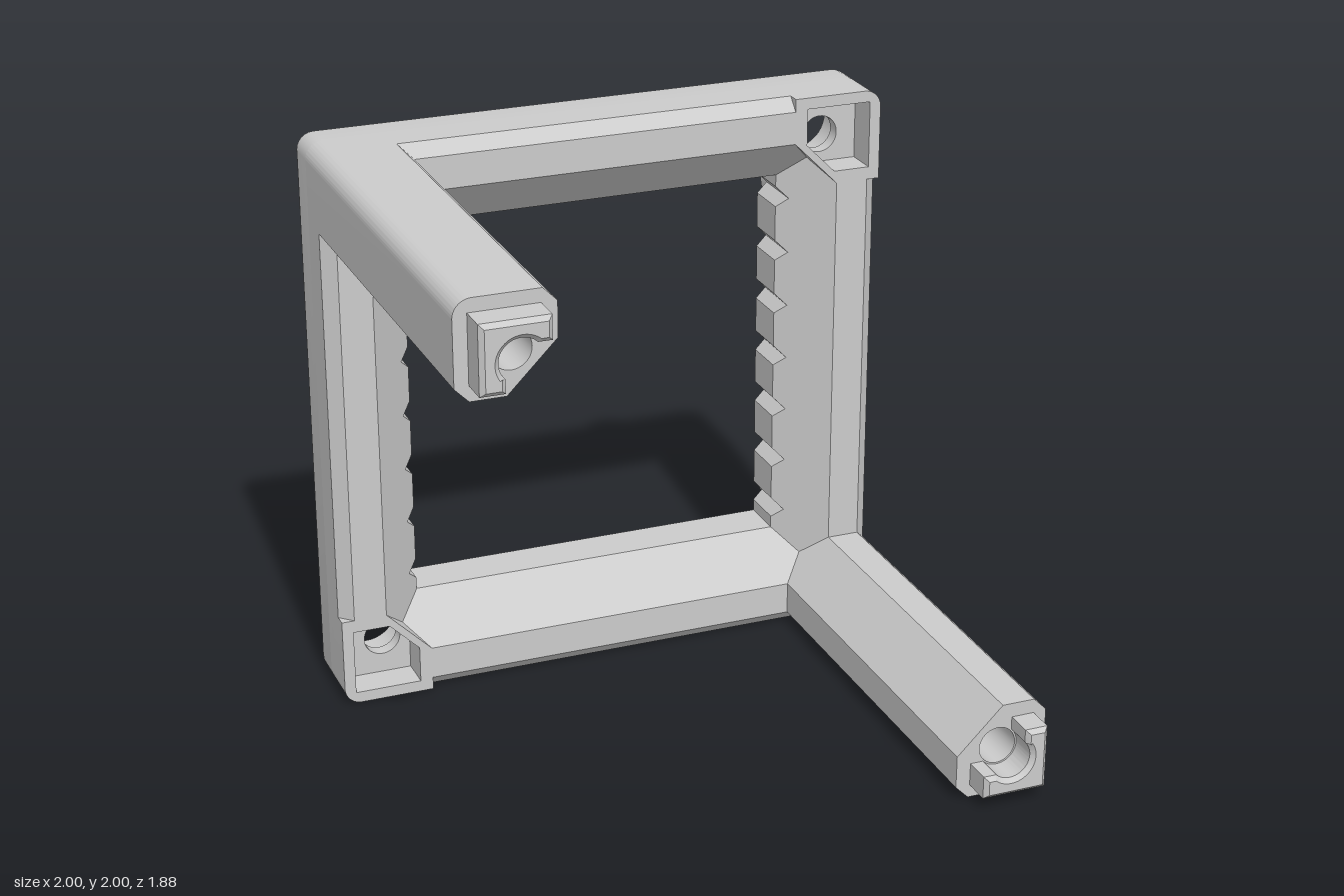
import * as THREE from 'three';
import { toCreasedNormals } from 'three/addons/utils/BufferGeometryUtils.js';

const material = new THREE.MeshStandardMaterial({ color: 0xcccccc });
const BACK = -0.86, MID = -0.71, FRONT = -0.54, LEG_END = 0.83;
const IN = 0.68, CH = 0.045, HOLE = 0.825; // inner edge, small chamfer, hole centre

function mesh(name, geometry) {
  const m = new THREE.Mesh(toCreasedNormals(geometry, 0.5), material);
  m.name = name;
  return m;
}

function extrude(shape, z0, z1, bevel = 0) {
  const g = new THREE.ExtrudeGeometry(shape, {
    depth: z1 - z0 - 2 * bevel, curveSegments: 20, bevelEnabled: bevel > 0,
    bevelSize: bevel, bevelThickness: bevel, bevelOffset: -bevel, bevelSegments: 1,
  });
  return g.translate(0, 0, z0 + bevel);
}

// Joins equal closed rings of points into a skin
function loft(rings) {
  const n = rings[0].length, index = [];
  for (let i = 0; i + 1 < rings.length; i++) {
    for (let j = 0; j < n; j++) {
      const k = (j + 1) % n;
      const a = i * n + j, b = i * n + k, c = b + n, d = a + n;
      index.push(a, d, c, a, c, b);
    }
  }
  const g = new THREE.BufferGeometry();
  g.setAttribute('position', new THREE.Float32BufferAttribute(rings.flat(2), 3));
  g.setIndex(index);
  return g;
}

function circle(x, y, r) {
  return new THREE.Path().absarc(x, y, r, 0, Math.PI * 2, false);
}

// Counter-clockwise rounded rectangle, as points
function roundRect(cx, cy, hw, hh, r, steps = 6) {
  const pts = [];
  [[1, 1], [-1, 1], [-1, -1], [1, -1]].forEach(([sx, sy], q) => {
    for (let i = 0; i <= steps; i++) {
      const a = (q + i / steps) * Math.PI / 2;
      pts.push(new THREE.Vector2(cx + sx * (hw - r) + r * Math.cos(a), cy + sy * (hh - r) + r * Math.sin(a)));
    }
  });
  return pts;
}

// Back plate with notched opening, slots and counterbores
function backPlate() {
  const shape = new THREE.Shape(roundRect(0, 0, 0.95, 0.95, 0.01));
  const opening = [];
  for (const s of [1, -1]) {
    opening.push([s * IN, -s * IN]);
    for (let k = -3; k <= 3; k++) {
      for (const [x, d] of [[IN, -0.037], [0.715, 0], [IN, 0.037]]) opening.push([s * x, s * (0.2 * k + d)]);
    }
    opening.push([s * IN, s * IN]);
  }
  shape.holes.push(new THREE.Path(opening.map(p => new THREE.Vector2(...p))));
  for (const s of [1, -1]) {
    shape.holes.push(new THREE.Path(roundRect(s * HOLE, 0, 0.07, 0.46, 0.05)));
    shape.holes.push(new THREE.Path(roundRect(0, s * HOLE, 0.46, 0.07, 0.05)));
    for (const t of [1, -1]) shape.holes.push(circle(s * HOLE, t * HOLE, 0.11));
  }
  return extrude(shape, BACK, MID);
}

// Outer wall, rounded towards the back
function outerSkin() {
  const ring = (inset, z) => roundRect(0, 0, 1 - inset, 1 - inset, 0.06 - inset).map(p => [p.x, p.y, z]);
  const rings = [ring(0, MID)];
  for (let i = 0; i <= 6; i++) {
    const a = i / 6 * Math.PI / 2;
    rings.push(ring(0.05 * (1 - Math.cos(a)), BACK + 0.05 * (1 - Math.sin(a))));
  }
  return loft(rings);
}

// Front half of one bar along x; legSide is the end that meets a leg
function frontBar(legSide, notched) {
  const ring = (v, inner) => {
    const end = Math.abs(v) === IN;
    const section = [
      [inner, MID, 0], [inner, -0.70 + inner - IN, 0], [0.76, -0.62, 0.08], [0.84, FRONT, 0],
      [1 - CH, FRONT, 0], [1, FRONT - CH, CH], [1, MID, CH],
    ];
    return section.map(([u, z, extra], j) => {
      const reach = end && (j < 5 || Math.sign(v) === legSide) ? extra : 0;
      return [v + Math.sign(v) * reach, u, z];
    });
  };
  const rings = [ring(-IN, IN)];
  if (notched) {
    for (let k = -3; k <= 3; k++) {
      rings.push(ring(0.2 * k - 0.037, IN), ring(0.2 * k, 0.715), ring(0.2 * k + 0.037, IN));
    }
  }
  rings.push(ring(IN, IN));
  return loft(rings);
}

// Corner section in the +x +y quadrant
function cornerShape(chamfer) {
  const s = new THREE.Shape();
  s.moveTo(0.84, IN);
  s.lineTo(1 - chamfer, IN);
  s.lineTo(1, IN + chamfer);
  s.lineTo(1, 0.94);
  s.absarc(0.94, 0.94, 0.06, 0, Math.PI / 2, false);
  s.lineTo(IN + chamfer, 1);
  s.lineTo(IN, 1 - chamfer);
  s.lineTo(IN, 0.84);
  s.closePath();
  return s;
}

// Corner block with a socket for a peg
function socketCorner() {
  const g = new THREE.Group();
  const floor = cornerShape(0);
  floor.holes.push(circle(HOLE, HOLE, 0.065));
  const rim = cornerShape(0);
  const socket = [[0.83, 0.725], [0.96, 0.725], [0.96, 0.96], [0.725, 0.96], [0.725, 0.83]];
  rim.holes.push(new THREE.Path(socket.map(p => new THREE.Vector2(...p))));
  g.add(mesh('socketFloor', extrude(floor, MID, -0.66)), mesh('socketRim', extrude(rim, -0.66, FRONT)));
  return g;
}

// Long hollow leg with an L-shaped peg at its tip
function legCorner() {
  const g = new THREE.Group();
  const leg = cornerShape(CH);
  leg.holes.push(circle(HOLE, HOLE, 0.065));
  const peg = new THREE.Shape();
  peg.moveTo(0.875, 0.73);
  peg.lineTo(0.955, 0.73);
  peg.lineTo(0.955, 0.955);
  peg.lineTo(0.73, 0.955);
  peg.lineTo(0.73, 0.875);
  peg.lineTo(HOLE - 0.05, 0.875);
  peg.absarc(HOLE, HOLE, 0.0707, Math.PI * 0.75, -Math.PI / 4, true);
  peg.closePath();
  g.add(mesh('leg', extrude(leg, MID, LEG_END)), mesh('peg', extrude(peg, LEG_END - 0.02, 0.94, 0.015)));
  return g;
}

// Hollow stud pointing backwards
function stud() {
  const profile = [[0, 0.01], [0.045, 0.01], [0.045, 0.08], [0.095, 0.08], [0.1, 0.075], [0.1, 0]];
  const g = new THREE.LatheGeometry(profile.reverse().map(p => new THREE.Vector2(...p)), 32);
  return g.rotateX(-Math.PI / 2).translate(0, 0, BACK);
}

export function createModel() {
  const model = new THREE.Group();
  model.name = 'cornerFrame';
  model.position.y = 1;
  model.add(mesh('backPlate', backPlate()), mesh('outerWall', outerSkin()));

  // Four sides: bars, corners and a pair of studs each
  const barNames = ['topBar', 'rightBar', 'bottomBar', 'leftBar'];
  for (let i = 0; i < 4; i++) {
    const odd = i % 2 === 1;
    const side = new THREE.Group();
    side.name = barNames[i] + 'Side';
    side.rotation.z = -i * Math.PI / 2;
    side.add(mesh(barNames[i], frontBar(odd ? 1 : -1, odd)));
    const corner = odd ? legCorner() : socketCorner();
    corner.name = odd ? 'legCorner' : 'socketCorner';
    side.add(corner);
    for (const s of [1, -1]) {
      const st = mesh('stud', stud());
      st.position.set(s * 0.585, HOLE, 0);
      side.add(st);
    }
    model.add(side);
  }

  const root = new THREE.Group();
  root.add(model);
  return root;
}
